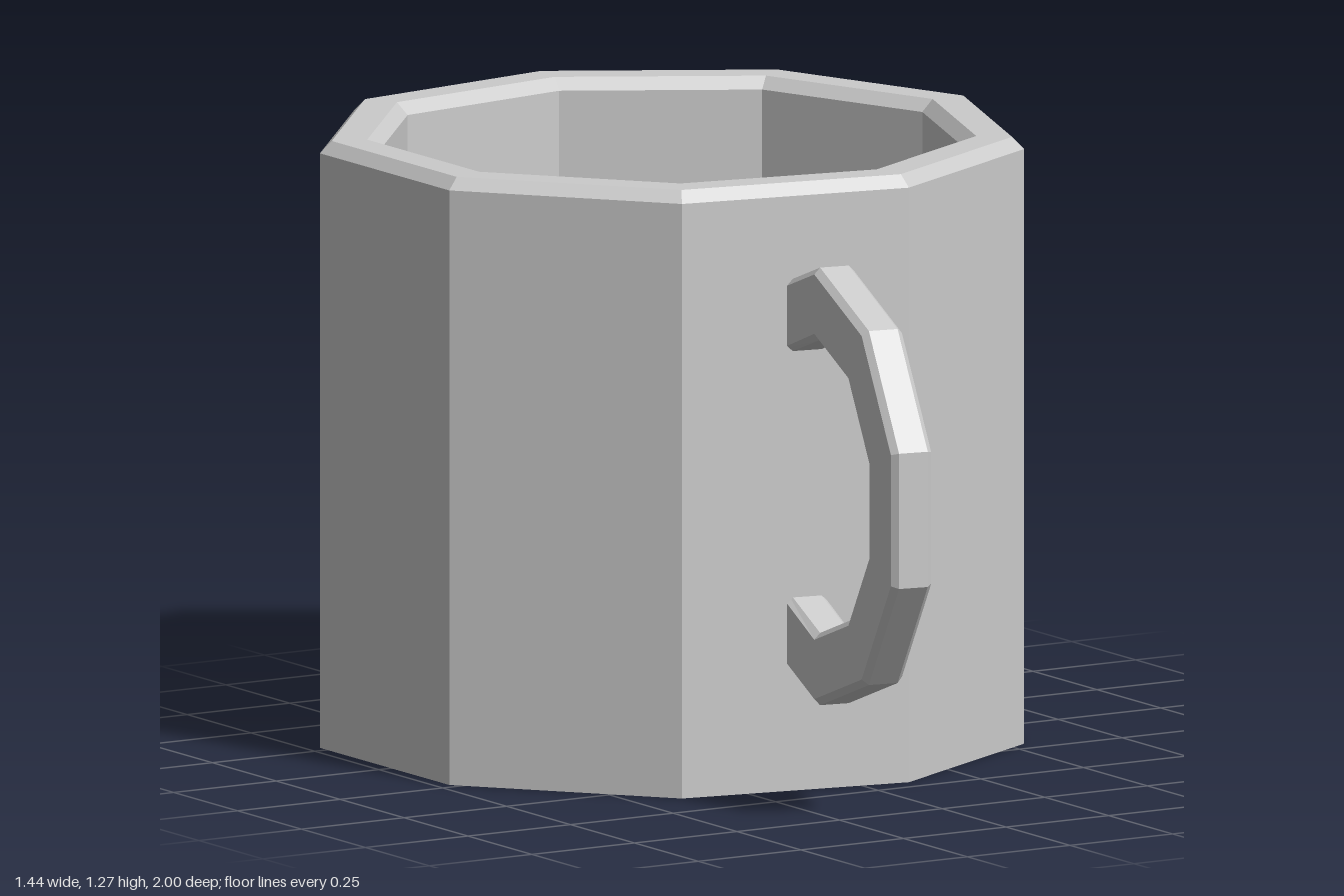
import * as THREE from 'three';

const material = new THREE.MeshStandardMaterial({ color: 0xcccccc, flatShading: true });

// Nine-sided cup: base, outer wall, bevelled rim, inner wall and floor in one profile
function makeCup() {
  const profile = [
    [0, 0], [0.74, 0], [0.74, 1.25], [0.715, 1.275],
    [0.64, 1.275], [0.615, 1.25], [0.615, 0.125], [0, 0.125],
  ].map(([r, y]) => new THREE.Vector2(r, y));
  const cup = new THREE.Mesh(new THREE.LatheGeometry(profile, 9, Math.PI / 2), material);
  cup.name = 'cup';
  cup.position.set(-0.025, 0, -0.275);
  return cup;
}

// Bevelled half-decagon handle whose ends are buried in the cup wall
function makeHandle() {
  const arc = (radius, endX) => {
    const points = [];
    for (let i = 0; i <= 5; i++) {
      const a = THREE.MathUtils.degToRad(90 - i * 36);
      points.push(new THREE.Vector2(Math.cos(a) * radius, Math.sin(a) * radius));
    }
    // Continue both ends along the next decagon edges
    const endY = radius + endX * Math.tan(Math.PI / 10);
    return [new THREE.Vector2(endX, endY), ...points, new THREE.Vector2(endX, -endY)];
  };
  const shape = new THREE.Shape([...arc(0.46, -0.21), ...arc(0.308, -0.21).reverse()]);
  const width = 0.09, bevel = 0.013;
  const geometry = new THREE.ExtrudeGeometry(shape, {
    depth: width - 2 * bevel,
    bevelThickness: bevel,
    bevelSize: bevel,
    bevelOffset: -bevel,
    bevelSegments: 1,
  });
  geometry.translate(0, 0, bevel - width / 2);
  const handle = new THREE.Mesh(geometry, material);
  handle.name = 'handle';
  handle.position.set(-0.146, 0.665, 0.563);
  handle.rotation.y = THREE.MathUtils.degToRad(-100);
  return handle;
}

export function createModel() {
  const mug = new THREE.Group();
  mug.name = 'mug';
  mug.add(makeCup(), makeHandle());
  return mug;
}
